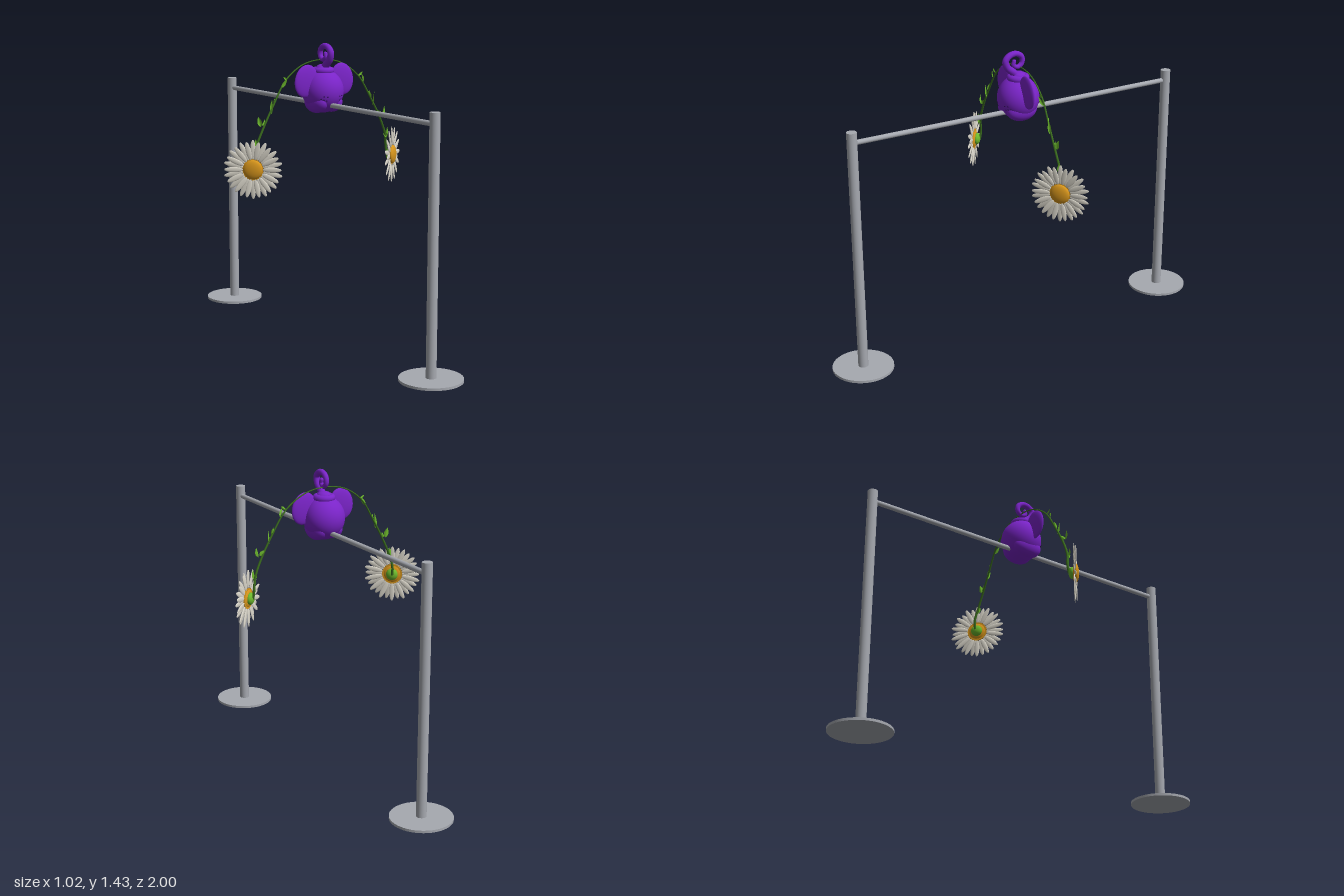
import * as THREE from 'three';

const mat = (name, color, side = THREE.FrontSide) => {
  const m = new THREE.MeshStandardMaterial({ color, side });
  m.name = name;
  return m;
};
const V = (x, y, z) => new THREE.Vector3(x, y, z);

export function createModel() {
  const steel = mat('steel grey', 0xa6a9b0);
  const purple = mat('purple', 0x7a24c8);
  const dark = mat('dark purple', 0x2e0c58);
  const white = mat('petal white', 0xdcd8cc);
  const yellow = mat('flower yellow', 0xd8961c);
  const stemGreen = mat('stem green', 0x3b6e1e);
  const leafGreen = mat('leaf green', 0x6cb82c, THREE.DoubleSide);

  const model = new THREE.Group();
  const add = (parent, name, geo, material, x = 0, y = 0, z = 0) => {
    const m = new THREE.Mesh(geo, material);
    m.name = name;
    m.position.set(x, y, z);
    parent.add(m);
    return m;
  };
  const ball = (rx, ry, rz, w = 32, h = 20) => new THREE.SphereGeometry(1, w, h).scale(rx, ry, rz);

  // Tube whose radius runs from r0 to r1
  const taperedTube = (points, r0, r1, n = 48, sides = 12) => {
    const path = new THREE.CatmullRomCurve3(points);
    const geo = new THREE.TubeGeometry(path, n, r0, sides);
    const p = geo.attributes.position, v = V(0, 0, 0);
    for (let i = 0; i <= n; i++) {
      const c = path.getPointAt(i / n);
      const k = 1 + (r1 / r0 - 1) * i / n;
      for (let j = 0; j <= sides; j++) {
        const id = i * (sides + 1) + j;
        v.fromBufferAttribute(p, id).sub(c).multiplyScalar(k).add(c);
        p.setXYZ(id, v.x, v.y, v.z);
      }
    }
    return geo;
  };

  // Two posts with round feet, joined by a rail
  const stand = new THREE.Group();
  stand.name = 'stand';
  model.add(stand);
  for (const s of [1, -1]) {
    add(stand, 'post', new THREE.CylinderGeometry(0.024, 0.024, 1.185, 32), steel, 0, 0.6025, s * 0.854);
    add(stand, 'foot', new THREE.CylinderGeometry(0.146, 0.146, 0.012, 48), steel, 0, 0.006, s * 0.854);
  }
  add(stand, 'rail', new THREE.CylinderGeometry(0.012, 0.012, 1.68, 24).rotateX(Math.PI / 2), steel, 0, 1.143, 0);

  // Round head with collar, cheeks, ears and curled trunk
  const head = new THREE.Group();
  head.name = 'head';
  model.add(head);
  add(head, 'skull', ball(0.1, 0.104, 0.1, 40, 28), purple, 0, 1.206, 0);
  add(head, 'collar', new THREE.TorusGeometry(0.037, 0.017, 14, 36).rotateX(Math.PI / 2), purple, 0, 1.303, 0);
  add(head, 'trunkRoot', ball(0.036, 0.022, 0.036), purple, 0, 1.312, 0);
  const trunkPath = [[1.3, 0], [1.33, 0.025], [1.36, 0.058], [1.392, 0.067], [1.415, 0.045], [1.42, 0.012],
    [1.402, -0.018], [1.372, -0.02], [1.355, 0.002], [1.366, 0.025], [1.384, 0.022]].map(([y, z]) => V(0, y, z));
  add(head, 'trunk', taperedTube(trunkPath, 0.019, 0.01, 90, 16), purple);
  add(head, 'trunkTip', ball(0.01, 0.01, 0.01, 16, 10), purple, 0, 1.384, 0.022);
  for (const s of [1, -1]) {
    add(head, 'cheek', ball(0.043, 0.053, 0.078), purple, s * 0.042, 1.156, 0.004);
    const ear = add(head, 'ear', ball(0.064, 0.078, 0.016), purple, s * 0.102, 1.259, 0.012);
    ear.rotation.z = s * 0.25;
    // Freckles on the cheek
    for (const [dx, dy] of [[0.034, 1.186], [0.05, 1.188], [0.06, 1.176], [0.048, 1.172], [0.036, 1.168]]) {
      const onSkull = Math.sqrt(0.01 - dx * dx - (((dy - 1.206) / 1.04) ** 2));
      add(head, 'freckle', ball(0.0035, 0.0035, 0.003, 10, 8), dark, s * dx, dy, onSkull);
    }
  }

  // Thin pointed leaf, folded along its rib, growing along +y
  const leafGeo = (len, width) => {
    const g = new THREE.PlaneGeometry(1, 1, 4, 8);
    const p = g.attributes.position;
    for (let i = 0; i < p.count; i++) {
      const t = p.getY(i) + 0.5, u = p.getX(i) * 2;
      const w = width * Math.sin(Math.PI * Math.pow(t, 0.75));
      p.setXYZ(i, u * w, t * len, Math.abs(u) * w * 0.7 + t * t * len * 0.12);
    }
    g.computeVertexNormals();
    return g;
  };

  // One drooping spray: stem, leaves and daisy; facing sign s
  const spray = (s) => {
    const g = new THREE.Group();
    g.name = s > 0 ? 'leftSpray' : 'rightSpray';
    model.add(g);
    const stem = [[0, 1.355, -0.008], [0.06, 1.349, -0.008], [0.125, 1.328, -0.007], [0.21, 1.265, -0.003],
      [0.28, 1.155, 0.002], [0.335, 1.055, 0.003], [0.372, 0.97, -0.002], [0.385, 0.91, -0.012], [0.388, 0.865, -0.006]];
    add(g, 'stem', taperedTube(stem.map(([x, y, z]) => V(s * x, y, z)), 0.0025, 0.0065, 60, 8), stemGreen);

    // x, y, length, half width, lean from upright, turn
    const leaves = [
      [0.235, 1.235, 0.05, 0.008, 0.55, 0.4], [0.205, 1.268, 0.03, 0.006, -0.9, 0],
      [0.292, 1.115, 0.07, 0.008, 0.1, 0.9], [0.282, 1.15, 0.045, 0.007, 0.2, -0.8],
      [0.35, 1.06, 0.05, 0.011, -0.25, 0.5], [0.345, 1.065, 0.035, 0.009, 0.7, -0.5],
      [0.373, 0.955, 0.05, 0.01, -0.1, 0.5], [0.38, 0.95, 0.045, 0.009, 0.35, -0.7]];
    for (const [x, y, len, w, lean, turn] of leaves) {
      const leaf = add(g, 'leaf', leafGeo(len, w), leafGreen, s * x, y, 0.003);
      leaf.rotation.set(0, s * turn, s * lean);
    }

    // Daisy turned outwards
    const daisy = new THREE.Group();
    daisy.name = 'daisy';
    daisy.position.set(s * 0.404, 0.865, 0.018);
    daisy.rotation.y = s * 0.693;
    g.add(daisy);
    const count = 28;
    for (let i = 0; i < count; i++) {
      const odd = i % 2;
      const half = odd ? 0.044 : 0.047;
      const pivot = new THREE.Group();
      pivot.name = 'petalPivot';
      pivot.rotation.z = (i / count) * Math.PI * 2;
      daisy.add(pivot);
      const petal = add(pivot, 'petal', ball(0.0125, half, 0.0035, 12, 10), white, 0, 0.046 + half, odd ? 0.003 : -0.003);
      petal.rotation.x = odd ? 0.06 : -0.02;
    }
    add(daisy, 'flowerCentre', ball(0.046, 0.046, 0.016), yellow, 0, 0, 0.002);
    add(daisy, 'petalHub', new THREE.CylinderGeometry(0.05, 0.05, 0.004, 32).rotateX(Math.PI / 2), yellow, 0, 0, -0.003);
    add(daisy, 'calyx', ball(0.029, 0.029, 0.018, 24, 14), leafGreen, 0, 0, -0.014);
  };
  spray(1);
  spray(-1);

  return model;
}
